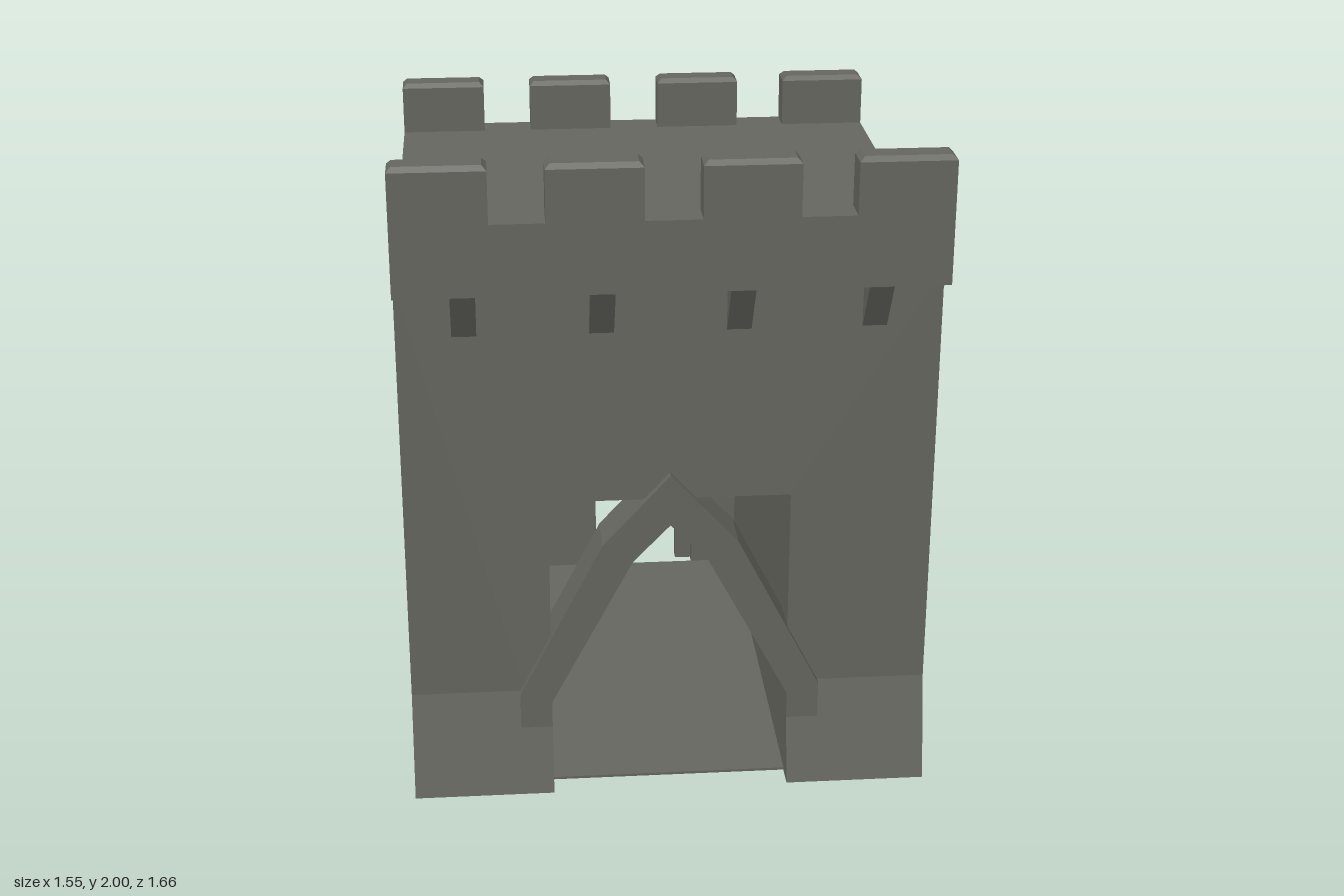
import * as THREE from 'three';

const stone = new THREE.MeshStandardMaterial({ color: 0x65665f });
stone.name = 'stone';

const HALF = 0.775; // half width of the gatehouse
const TOP = 1.635; // roof height

// Mirror a right-hand outline (bottom to top, ending at x = 0) to the left
const mirrored = (pts) => [...pts, ...pts.filter(([x]) => x > 0).reverse().map(([x, y]) => [-x, y])];
const shapeOf = (pts) => new THREE.Shape(pts.map(([x, y]) => new THREE.Vector2(x, y)));

// Extrude an x-y outline between two z values
function extrudeZ(pts, z0, z1) {
  const geo = new THREE.ExtrudeGeometry(shapeOf(pts), { depth: z1 - z0, bevelEnabled: false });
  return geo.translate(0, 0, z0);
}

// Extrude a z-y profile between two x values
function extrudeX(pts, x0, x1) {
  const geo = new THREE.ExtrudeGeometry(shapeOf(pts), { depth: x1 - x0, bevelEnabled: false });
  return geo.rotateY(-Math.PI / 2).translate(x1, 0, 0);
}

function boxBetween(x0, x1, y0, y1, z0, z1) {
  return new THREE.BoxGeometry(x1 - x0, y1 - y0, z1 - z0)
    .translate((x0 + x1) / 2, (y0 + y1) / 2, (z0 + z1) / 2);
}

// Block whose top edges are chamfered
function merlonGeometry(w, h, d) {
  const c = 0.014;
  const geo = new THREE.BoxGeometry(w, h, d, 1, 2, 1);
  const p = geo.attributes.position;
  for (let i = 0; i < p.count; i++) {
    const y = p.getY(i);
    if (Math.abs(y) < 1e-6) p.setY(i, h / 2 - c);
    else if (y > 0) {
      p.setX(i, p.getX(i) - Math.sign(p.getX(i)) * c);
      p.setZ(i, p.getZ(i) - Math.sign(p.getZ(i)) * c);
    }
  }
  const flat = geo.toNonIndexed();
  flat.computeVertexNormals();
  return flat.translate(0, h / 2, 0);
}

export function createModel() {
  const model = new THREE.Group();
  model.name = 'gatehouse';
  const add = (name, geo, parent = model) => {
    const mesh = new THREE.Mesh(geo, stone);
    mesh.name = name;
    parent.add(mesh);
    return mesh;
  };

  // Wall slices from front to back, each with its own opening down to the ground
  const rect = (w, h) => [[w, 0], [w, h], [-w, h], [-w, 0]];
  const innerArch = mirrored([[0.145, 0], [0.145, 0.35], [0.1, 0.465], [0, 0.505]]);
  const outerArch = mirrored([[0.2, 0], [0.2, 0.355], [0.145, 0.505], [0, 0.565]]);
  const slices = [
    ['frontWall', rect(0.355, 0.945), 0.55, 0.725],
    ['passageRib', rect(0.355, 0.91), 0.45, 0.55],
    ['passageWalls', rect(0.355, 0.89), -0.67, 0.45],
    ['doorSurround', outerArch, -0.72, -0.67],
    ['doorWall', innerArch, -0.77, -0.72],
    ['backWall', rect(0.35, 0.915), -0.83, -0.77],
  ];
  for (const [name, opening, z0, z1] of slices) {
    const outline = [[-HALF, 0], ...[...opening].reverse(), [HALF, 0], [HALF, TOP], [-HALF, TOP]];
    add(name, extrudeZ(outline, z0, z1));
  }
  add('passageFloor', boxBetween(-0.355, 0.355, 0.002, 0.01, -0.67, 0.725));

  // Sloping wall feet either side of the gate
  const foot = [[0.725, 0], [0.795, 0], [0.725, 0.32]];
  add('leftWallFoot', extrudeX(foot, 0.355, HALF));
  add('rightWallFoot', extrudeX(foot, -HALF, -0.355));

  // Pointed moulding around the gate
  const mouldOuter = mirrored([[0.45, 0.2], [0.45, 0.32], [0.2, 0.81], [0, 1.03]]);
  const mouldInner = mirrored([[0.355, 0.2], [0.355, 0.29], [0.11, 0.755], [0, 0.87]]);
  add('gateMoulding', extrudeZ([...mouldOuter, ...mouldInner.reverse()], 0.6, 0.75));

  // Overhanging parapet and its corbels
  add('parapet', boxBetween(-HALF, HALF, 1.625, 1.835, 0.718, 0.83));
  const corbels = new THREE.Group();
  corbels.name = 'corbels';
  model.add(corbels);
  const bracket = [[0.72, 1.47], [0.725, 1.47], [0.82, 1.625], [0.72, 1.625]];
  for (const x of [-0.582, -0.195, 0.195, 0.582]) {
    add('corbel', extrudeX(bracket, x - 0.035, x + 0.035), corbels);
  }

  // Battlements along the front and back
  const merlon = merlonGeometry(0.27, 0.165, 0.092);
  for (const [name, y, z] of [['frontBattlements', 1.835, 0.784], ['backBattlements', TOP, -0.784]]) {
    const row = new THREE.Group();
    row.name = name;
    model.add(row);
    for (const x of [-0.64, -0.215, 0.215, 0.64]) add('merlon', merlon, row).position.set(x, y, z);
  }
  return model;
}
